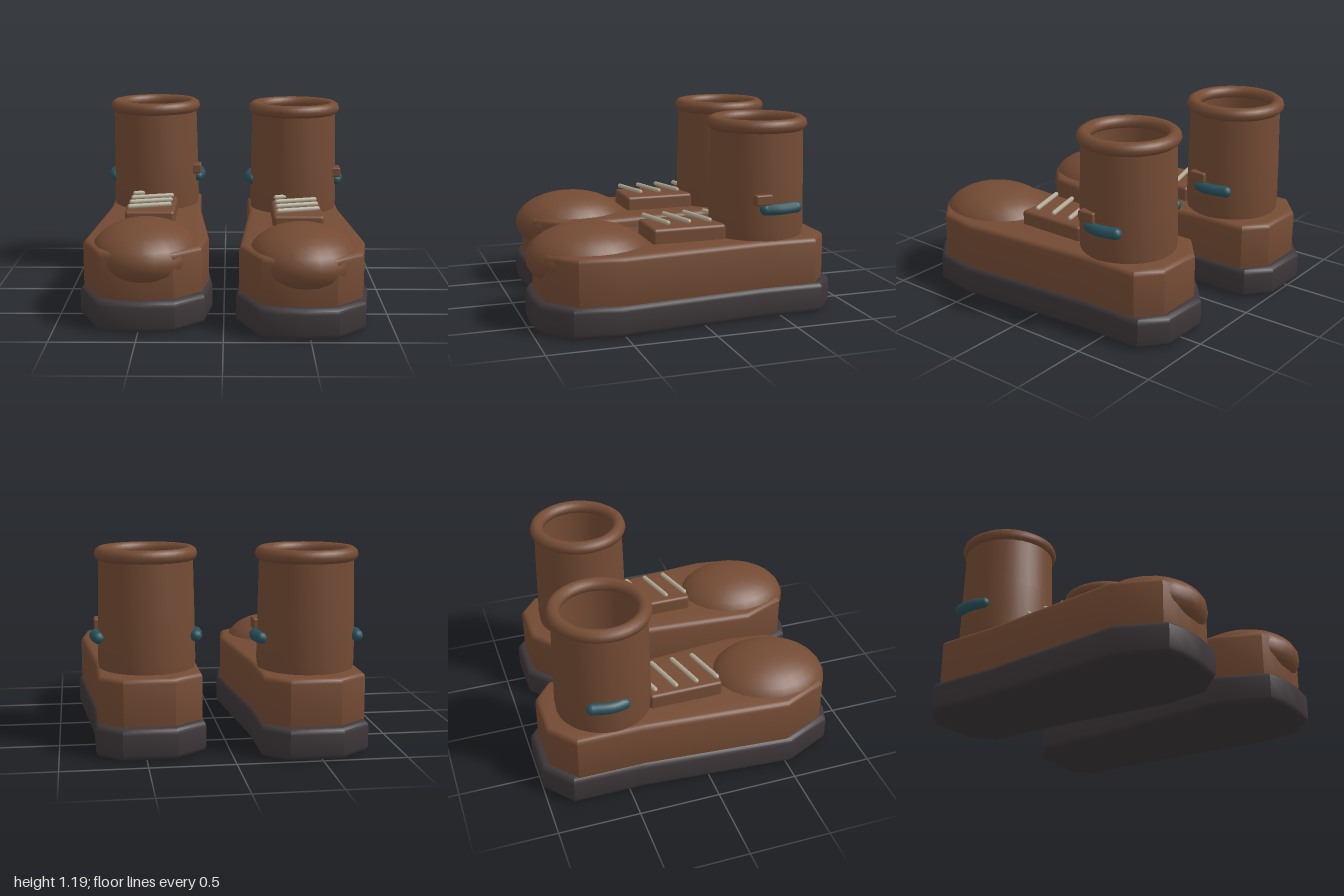
import * as THREE from 'three';
import { toCreasedNormals } from 'three/addons/utils/BufferGeometryUtils.js';
import { RoundedBoxGeometry } from 'three/addons/geometries/RoundedBoxGeometry.js';

const material = (name, color) => {
  const m = new THREE.MeshStandardMaterial({ color });
  m.name = name;
  return m;
};

// Footprint of the sole as x, z pairs, slightly wider and longer on one side
const FOOTPRINT = [
  [-0.15, -0.94], [0.165, -0.94], [0.315, -0.82], [0.317, -0.44],
  [0.4, 0.47], [0.36, 0.74], [0.19, 0.905], [0, 0.925], [-0.16, 0.915],
  [-0.265, 0.88], [-0.4, 0.59], [-0.328, -0.36], [-0.33, -0.79],
];
const SHAFT_Z = -0.508;

// Bevelled slab over the footprint, between two heights
function slab(scale, bottom, top, bevel) {
  const shape = new THREE.Shape(FOOTPRINT.map(([x, z]) => new THREE.Vector2(x * scale, z * scale)));
  const geo = new THREE.ExtrudeGeometry(shape, {
    depth: top - bottom - 2 * bevel, bevelThickness: bevel, bevelSize: bevel,
    bevelOffset: -bevel, bevelSegments: 3,
  });
  geo.rotateX(Math.PI / 2);
  geo.translate(0, top - bevel, 0);
  return toCreasedNormals(geo, 0.6);
}

function createBoot(mats) {
  const boot = new THREE.Group();
  const add = (name, geo, mat, x = 0, y = 0, z = 0) => {
    const mesh = new THREE.Mesh(geo, mat);
    mesh.name = name;
    mesh.position.set(x, y, z);
    boot.add(mesh);
    return mesh;
  };

  add('sole', slab(1, 0, 0.19, 0.035), mats.rubber);
  add('upper', slab(0.95, 0.16, 0.47, 0.03), mats.leather);

  const toe = add('toeCap', new THREE.SphereGeometry(1, 24, 16), mats.leather, -0.005, 0.4, 0.565);
  toe.scale.set(0.325, 0.2, 0.37);

  // Hollow shaft with a rolled collar and dark insole
  const profile = [[0.285, 0.44], [0.293, 0.52], [0.288, 0.8], [0.28, 1.15], [0.235, 1.15], [0.222, 0.48]];
  const shaft = new THREE.LatheGeometry(profile.map(([r, y]) => new THREE.Vector2(r, y)), 32);
  add('shaft', toCreasedNormals(shaft.toNonIndexed(), 0.6), mats.leather, -0.005, 0, SHAFT_Z);
  const collar = new THREE.TorusGeometry(0.264, 0.042, 10, 36).rotateX(Math.PI / 2);
  add('collar', collar, mats.leather, -0.005, 1.148, SHAFT_Z);
  add('insole', new THREE.CircleGeometry(0.226, 32).rotateX(-Math.PI / 2), mats.lining, -0.005, 0.5, SHAFT_Z);

  // Tongue and slanted laces
  add('tongue', new RoundedBoxGeometry(0.317, 0.11, 0.46, 3, 0.02), mats.leather, -0.005, 0.505, -0.025);
  for (let i = 0; i < 4; i++) {
    const lace = add('lace', new THREE.CapsuleGeometry(0.015, 0.26, 4, 8).rotateZ(Math.PI / 2),
      mats.cord, -0.007, 0.587, 0.14 - i * 0.131);
    lace.rotation.y = 0.28;
  }

  // Short strap on each side, with rounded ends
  for (const side of [-1, 1]) {
    const points = [[0.285, 0.662, -0.45], [0.302, 0.664, -0.53], [0.288, 0.668, -0.645]]
      .map(([x, y, z]) => new THREE.Vector3(side * x, y, z));
    add('strap', new THREE.TubeGeometry(new THREE.CatmullRomCurve3(points), 10, 0.035, 10), mats.strap);
    for (const p of [points[0], points[2]]) {
      add('strapEnd', new THREE.SphereGeometry(0.035, 12, 8), mats.strap, p.x, p.y, p.z);
    }
  }
  add('buckle', new RoundedBoxGeometry(0.06, 0.065, 0.11, 2, 0.01), mats.leather, 0.278, 0.722, -0.435);
  return boot;
}

export function createModel() {
  const mats = {
    leather: material('brown leather', 0x744b34),
    rubber: material('dark rubber', 0x3d3638),
    lining: material('navy lining', 0x232330),
    cord: material('pale cord', 0xb3a994),
    strap: material('teal strap', 0x28525c),
  };
  const model = new THREE.Group();
  model.name = 'boots';
  // The same boot twice, one half a step ahead
  for (const side of [-1, 1]) {
    const boot = createBoot(mats);
    boot.name = side > 0 ? 'leftBoot' : 'rightBoot';
    boot.position.set(side * 0.472, 0, side * 0.06);
    model.add(boot);
  }
  return model;
}
